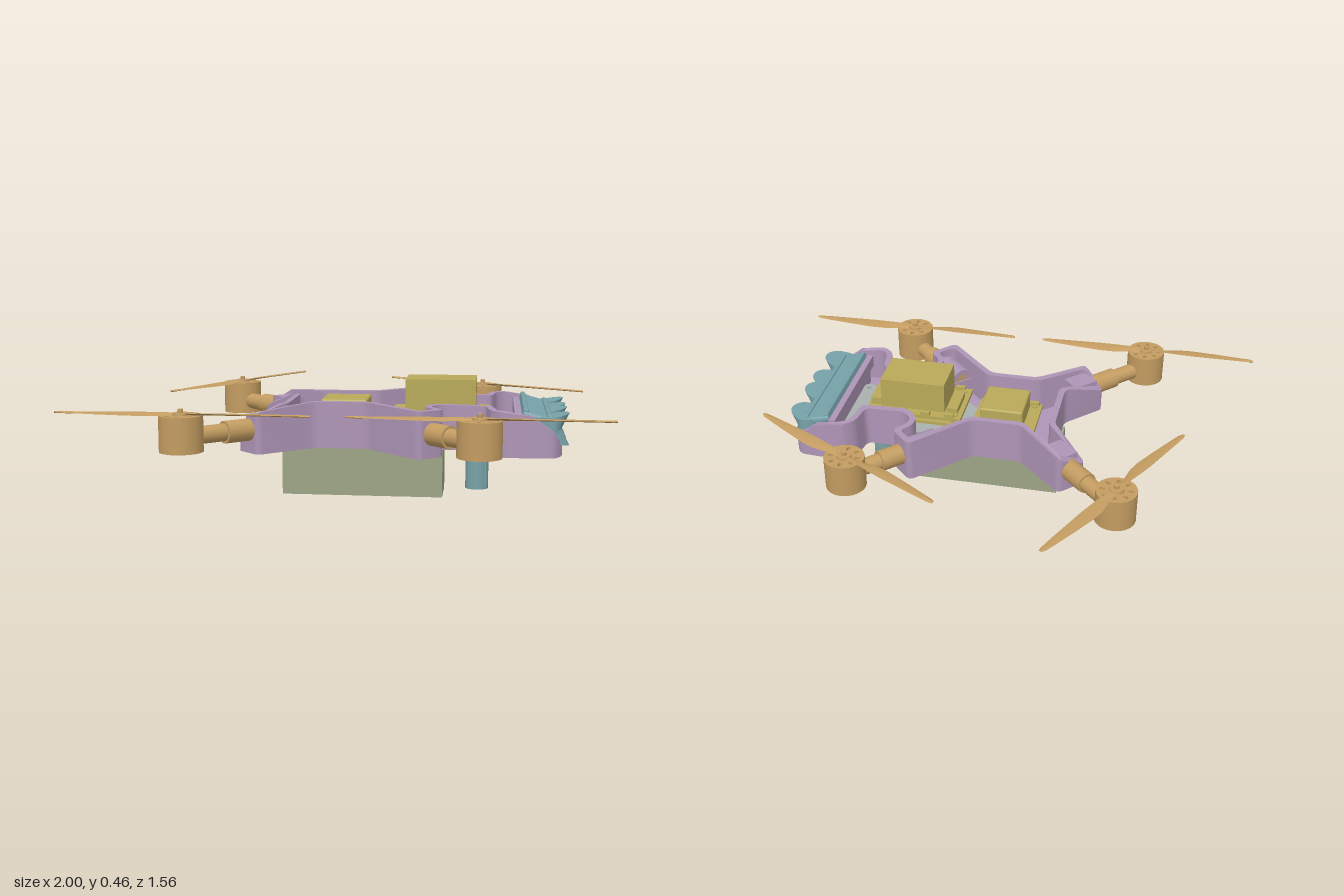
import * as THREE from 'three';
import { toCreasedNormals } from 'three/addons/utils/BufferGeometryUtils.js';
import { RoundedBoxGeometry } from 'three/addons/geometries/RoundedBoxGeometry.js';

const mat = (name, color) => Object.assign(new THREE.MeshStandardMaterial({ color }), { name });

export function createModel() {
  const purple = mat('shell purple', 0xae95b6);
  const tan = mat('motor tan', 0xc39c61);
  const teal = mat('sensor teal', 0x77a2a9);
  const gold = mat('electronics gold', 0xb8a959);
  const olive = mat('battery olive', 0x9da484);
  const grey = mat('plate grey', 0xa8b0ae);

  const model = new THREE.Group();
  const craft = new THREE.Group();
  craft.name = 'quadcopter';
  craft.position.z = 0.168;
  model.add(craft);

  const add = (name, geo, material, x = 0, y = 0, z = 0, parent = craft) => {
    const m = new THREE.Mesh(geo, material);
    m.name = name;
    m.position.set(x, y, z);
    parent.add(m);
    return m;
  };
  // box given by its limits
  const box = (name, material, x0, x1, y0, y1, z0, z1) =>
    add(name, new THREE.BoxGeometry(x1 - x0, y1 - y0, z1 - z0), material, (x0 + x1) / 2, (y0 + y1) / 2, (z0 + z1) / 2);

  // plan outlines, counter-clockwise
  const mirrorOutline = (half) => [...half.map(([x, z]) => [x, -z]), ...[...half].reverse()].map(([x, z]) => new THREE.Vector2(x, z));
  const inset = (pts, d) => pts.map((p, i) => {
    const a = p.clone().sub(pts[(i + pts.length - 1) % pts.length]).normalize();
    const b = pts[(i + 1) % pts.length].clone().sub(p).normalize();
    const na = new THREE.Vector2(-a.y, a.x), nb = new THREE.Vector2(-b.y, b.x);
    return na.clone().add(nb).multiplyScalar(d / (1 + na.dot(nb))).add(p);
  });
  const rounded = (pts, r) => pts.flatMap((p, i) => {
    const toward = (q) => p.clone().lerp(q, Math.min(0.45, r / p.distanceTo(q)));
    const a = toward(pts[(i + pts.length - 1) % pts.length]), b = toward(pts[(i + 1) % pts.length]);
    return new THREE.QuadraticBezierCurve(a, p, b).getPoints(4);
  });
  const slab = (pts, y0, y1, holes = []) => {
    const shape = new THREE.Shape(pts);
    holes.forEach((h) => shape.holes.push(new THREE.Path(h)));
    return new THREE.ExtrudeGeometry(shape, { depth: y1 - y0, bevelEnabled: false })
      .rotateX(Math.PI / 2).translate(0, y1, 0);
  };

  // open tray body: floor and a wall whose rim height follows x
  const outline = mirrorOutline([[-0.23, 0.13], [-0.378, 0.278], [-0.285, 0.37], [-0.1, 0.19], [0.1, 0.19], [0.31, 0.405],
    [0.4, 0.315], [0.35, 0.26], [0.35, 0.22], [0.39, 0.18], [0.55, 0.18], [0.565, 0.28], [0.61, 0.322], [0.72, 0.322],
    [0.8, 0.317], [0.83, 0.26]]);
  const rim = [[-0.38, 0.29], [-0.28, 0.358], [-0.1, 0.378], [0.2, 0.378], [0.62, 0.367], [0.72, 0.352], [0.8, 0.29], [0.84, 0.22]];
  const rimAt = (x) => {
    const i = Math.max(1, rim.findIndex((r) => r[0] >= x));
    const [a, b] = [rim[i - 1], rim[i]];
    return a[1] + (b[1] - a[1]) * (x - a[0]) / (b[0] - a[0]);
  };
  const outer = rounded(outline, 0.025);
  add('bodyFloor', toCreasedNormals(slab(outer, 0.2, 0.22), 0.6), purple);
  const wall = slab(outer, 0.21, 0.37, [rounded(inset(outline, 0.025), 0.025)]);
  const wp = wall.attributes.position;
  for (let i = 0; i < wp.count; i++) if (wp.getY(i) > 0.3) wp.setY(i, rimAt(wp.getX(i)));
  add('bodyWall', toCreasedNormals(wall, 0.6), purple);

  // sloping nose block between the cheeks
  const nose = new THREE.Shape([[0.67, 0.21], [0.67, 0.325], [0.72, 0.325], [0.79, 0.28], [0.825, 0.225], [0.825, 0.21]]
    .map((p) => new THREE.Vector2(...p)));
  add('noseBlock', new THREE.ExtrudeGeometry(nose, { depth: 0.52, bevelEnabled: false }), purple, 0, 0, -0.26);
  box('noseLedge', purple, 0.655, 0.685, 0.3, 0.35, -0.27, 0.27);

  // inner plate
  const plate = mirrorOutline([[-0.13, 0.1], [0.15, 0.1], [0.2, 0.145], [0.3, 0.145], [0.36, 0.13], [0.54, 0.13], [0.6, 0.15], [0.62, 0.19], [0.67, 0.19]]);
  const screwHole = (x, z) => new THREE.Path().absarc(x, z, 0.01, 0, Math.PI * 2).getPoints(12);
  add('innerPlate', slab(rounded(plate, 0.02), 0.24, 0.25,
    [[0.27, 0.128], [0.27, -0.128], [0.645, 0.16], [0.645, -0.16]].map((p) => screwHole(...p))), grey);

  // battery slung below
  box('battery', olive, -0.24, 0.385, 0, 0.2, -0.105, 0.105);

  // electronics stacks
  const stack = (name, x0, x1, z0, z1, y) => {
    box(name + 'Board', gold, x0, x1, y, y + 0.015, z0, z1);
    box(name + 'LowerBoard', gold, x0 + 0.02, x1 - 0.02, y - 0.035, y - 0.022, z0 + 0.015, z1 - 0.015);
    for (const x of [x0 + 0.03, x1 - 0.03]) for (const z of [z0 + 0.025, z1 - 0.025])
      add(name + 'Post', new THREE.CylinderGeometry(0.012, 0.012, y - 0.2, 10), gold, x, (y + 0.24) / 2, z);
    for (const z of [z0 + 0.01, z1 - 0.01])
      for (let i = 0; i < 4; i++) {
        const x = x0 + (x1 - x0) * (i + 0.5) / 4;
        box(name + 'Connector', gold, x - 0.02, x + 0.02, y + 0.015, y + 0.03, z - 0.01, z + 0.01);
      }
  };
  stack('controller', -0.14, 0.125, -0.12, 0.11, 0.28);
  add('controllerCase', new RoundedBoxGeometry(0.18, 0.085, 0.185, 2, 0.008), gold, 0, 0.332, -0.003);
  stack('computer', 0.17, 0.575, -0.105, 0.138, 0.3);
  box('computerCase', gold, 0.24, 0.51, 0.33, 0.457, -0.088, 0.093);
  box('computerRearPort', gold, 0.19, 0.235, 0.315, 0.34, -0.068, 0.072);
  box('computerFrontPort', gold, 0.52, 0.565, 0.315, 0.345, -0.058, 0.072);

  // tilted sensor bar on the nose
  const bar = new THREE.Group();
  bar.name = 'sensorBar';
  bar.position.set(0.735, 0.338, 0);
  bar.rotation.z = -0.25;
  craft.add(bar);
  add('barBody', new RoundedBoxGeometry(0.11, 0.03, 0.54, 2, 0.012), teal, 0, 0, 0, bar);
  for (const s of [-1, 1]) add('barRail', new RoundedBoxGeometry(0.02, 0.025, 0.52, 2, 0.006), teal, s * 0.045, 0.012, 0, bar);

  // four nose cameras: drums notched across the front, caps rising forward
  const drum = new THREE.CylinderGeometry(0.066, 0.066, 0.12, 28, 6);
  const dp = drum.attributes.position;
  for (let i = 0; i < dp.count; i++) {
    const x = dp.getX(i), y = dp.getY(i), f = Math.max(0, x) / 0.066;
    dp.setX(i, x - 0.03 * f * (1 - Math.abs(y) / 0.06));
    dp.setY(i, y * (0.78 + 0.22 * f));
  }
  const drumGeo = toCreasedNormals(drum, 0.6);
  for (const z of [-0.218, -0.05, 0.055, 0.22]) add('noseCamera', drumGeo, teal, 0.79, 0.297, z);

  // downward sensor
  for (const z of [-0.06, 0.064])
    add('lowerLens', new THREE.CylinderGeometry(0.044, 0.044, 0.13, 24), teal, 0.517, 0.1, z);
  box('lowerHousing', teal, 0.485, 0.553, 0.045, 0.16, -0.09, 0.095);
  box('lowerMount', teal, 0.485, 0.553, 0.16, 0.205, -0.106, 0.108);
  box('lowerPort', teal, 0.553, 0.559, 0.162, 0.185, -0.028, 0.028);

  // propeller blade from diamond cross-sections: radius, front edge, rear edge, twist
  const stations = [[0.02, 0.016, -0.018, 0.003], [0.07, 0.014, -0.018, 0.005], [0.14, 0.018, -0.034, 0.004], [0.2, 0.02, -0.036, 0.003],
    [0.3, 0.018, -0.027, 0.002], [0.4, 0.016, -0.016, 0.001], [0.45, 0.014, -0.01, 0], [0.468, 0.009, -0.002, 0]];
  const verts = [], faces = [];
  stations.forEach(([r, f, b, t], k) => {
    const m = (f + b) / 2;
    verts.push(r, t, f, r, 0.004, m, r, -t, b, r, -0.004, m);
    for (let j = 0; j < 4 && k > 0; j++) {
      const a = 4 * (k - 1) + j, c = 4 * (k - 1) + (j + 1) % 4;
      faces.push(a, a + 4, c, c, a + 4, c + 4);
    }
  });
  const raw = new THREE.BufferGeometry();
  raw.setAttribute('position', new THREE.Float32BufferAttribute(verts, 3));
  raw.setIndex(faces);
  const blade = toCreasedNormals(raw, 0.5);

  // vented motor cap
  const ring = new THREE.Path().absarc(0, 0, 0.08, 0, Math.PI * 2).getPoints(32).slice(0, -1);
  const vents = Array.from({ length: 8 }, (_, i) => i * Math.PI / 4).map((a) => new THREE.Path()
    .absellipse(0.055 * Math.cos(a), 0.055 * Math.sin(a), 0.012, 0.007, 0, Math.PI * 2, false, a).getPoints(10));
  const cap = toCreasedNormals(slab(ring, 0.355, 0.368, vents), 0.5);

  // arms, motors and propellers on each corner
  const spin = { '-1,-1': Math.atan2(0.41, 0.21), '1,-1': Math.atan2(-0.215, 0.41), '-1,1': 0, '1,1': 0 };
  for (const sx of [-1, 1]) for (const sz of [-1, 1]) {
    const arm = new THREE.Group();
    arm.name = (sx > 0 ? 'front' : 'rear') + (sz > 0 ? 'Near' : 'Far') + 'Arm';
    arm.rotation.y = Math.atan2(-sz, sx);
    craft.add(arm);
    const tube = (name, r, a, b, material) =>
      add(name, new THREE.CylinderGeometry(r, r, b - a, 20).rotateZ(Math.PI / 2), material, (a + b) / 2, 0.288, 0, arm);
    tube('armTube', 0.033, 0.34, 0.7, tan);
    tube('armCollar', 0.042, 0.42, sx > 0 ? 0.6 : 0.57, tan);
    if (sx > 0) {
      tube('armSleeve', 0.054, 0.34, 0.495, purple);
      add('armSaddle', new THREE.BoxGeometry(0.16, 0.08, 0.108), purple, 0.415, 0.25, 0, arm);
    } else {
      add('armCover', new THREE.BoxGeometry(0.11, 0.13, 0.1), purple, 0.385, 0.275, 0, arm);
    }

    const motor = new THREE.Group();
    motor.name = 'motor';
    motor.position.set(sx * 0.53, 0, sz * 0.53);
    craft.add(motor);
    add('motorCan', new THREE.CylinderGeometry(0.08, 0.08, 0.119, 32), tan, 0, 0.2955, 0, motor);
    add('motorCap', cap, tan, 0, 0, 0, motor);
    add('propellerHub', new THREE.CylinderGeometry(0.028, 0.03, 0.014, 20), tan, 0, 0.37, 0, motor);
    add('motorShaft', new THREE.CylinderGeometry(0.01, 0.01, 0.03, 12), tan, 0, 0.375, 0, motor);
    for (const turn of [0, Math.PI])
      add('propellerBlade', blade, tan, 0, 0.371, 0, motor).rotation.y = spin[[sx, sz]] + turn;
  }
  return model;
}
